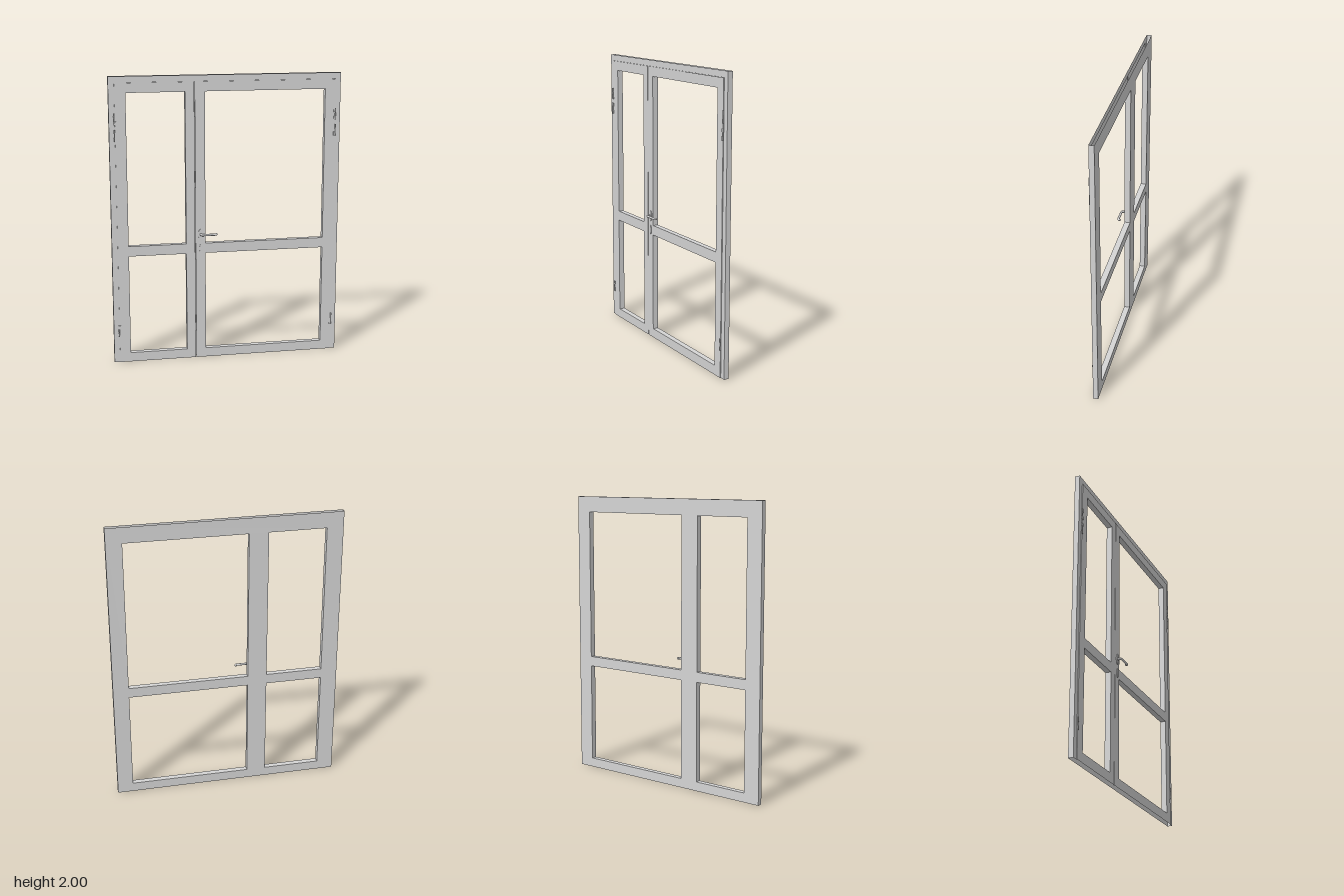
import * as THREE from 'three';

const BACK = -0.04, FRAME = -0.005, FRONT = 0;

// Rectangle corners, counter-clockwise
const rect = (x0, y0, x1, y1) => [[x0, y0], [x1, y0], [x1, y1], [x0, y1]];
const vectors = (pts) => pts.map(([x, y]) => new THREE.Vector2(x, y));

// Flat sheet with holes at depth z
function sheet(pts, holes, z) {
  const shape = new THREE.Shape(vectors(pts));
  holes.forEach((h) => shape.holes.push(new THREE.Path(vectors(h))));
  return new THREE.ShapeGeometry(shape).translate(0, 0, z);
}

// Flat-sided wall following an outline between two depths
function wall(pts, z0, z1, closed = true) {
  const pos = [];
  const count = closed ? pts.length : pts.length - 1;
  for (let i = 0; i < count; i++) {
    const [ax, ay] = pts[i], [bx, by] = pts[(i + 1) % pts.length];
    pos.push(ax, ay, z0, bx, by, z0, bx, by, z1, ax, ay, z0, bx, by, z1, ax, ay, z1);
  }
  const g = new THREE.BufferGeometry();
  g.setAttribute('position', new THREE.Float32BufferAttribute(pos, 3));
  g.computeVertexNormals();
  return g;
}

export function createModel() {
  const model = new THREE.Group();
  model.name = 'doubleDoor';
  const grey = new THREE.MeshStandardMaterial({ color: 0xd5d5d5, side: THREE.DoubleSide });
  grey.name = 'lightGrey';
  const add = (name, geometry, parent = model) => {
    const mesh = new THREE.Mesh(geometry, grey);
    mesh.name = name;
    parent.add(mesh);
    return mesh;
  };

  // Window openings of the narrow and the wide leaf
  const openings = (x0, x1) => [rect(x0, 0.065, x1, 0.765), rect(x0, 0.835, x1, 1.89)];
  const leaves = [
    { name: 'narrowLeaf', x0: -0.76, x1: -0.223, holes: openings(-0.685, -0.285) },
    { name: 'wideLeaf', x0: -0.219, x1: 0.76, holes: openings(-0.15, 0.69) },
  ];

  // Hollow frame, open at top and bottom
  add('backPanel', sheet(rect(-0.8, 0, 0.8, 2), leaves.flatMap((l) => l.holes), BACK));
  add('frameFront', sheet([[-0.8, 0], [-0.76, 0], [-0.76, 1.957], [0.76, 1.957],
    [0.76, 0], [0.8, 0], [0.8, 2], [-0.8, 2]], [], FRAME));
  add('frameRightSide', wall([[-0.8, 2], [-0.8, 0]], BACK, FRAME, false));
  add('frameLeftSide', wall([[0.8, 0], [0.8, 2]], BACK, FRAME, false));

  // Leaves standing slightly proud of the frame
  for (const leaf of leaves) {
    const group = new THREE.Group();
    group.name = leaf.name;
    model.add(group);
    add('leafFront', sheet(rect(leaf.x0, 0, leaf.x1, 1.957), leaf.holes, FRONT), group);
    add('leafLeftEdge', wall([[leaf.x1, 0], [leaf.x1, 1.957]], FRAME, FRONT, false), group);
    add('leafRightEdge', wall([[leaf.x0, 1.957], [leaf.x0, 0]], FRAME, FRONT, false), group);
    leaf.holes.forEach((h) => add('windowReveal', wall([...h].reverse(), BACK, FRONT), group));
  }

  // Hinges on both sides: a slim pin with a short plate at each end
  for (const side of [-1, 1]) {
    for (const [y0, y1] of [[1.675, 1.755], [1.565, 1.645], [0.19, 0.27]]) {
      const hinge = new THREE.Group();
      hinge.name = 'hinge';
      hinge.position.set(side * 0.764, (y0 + y1) / 2, 0.003);
      model.add(hinge);
      const h = y1 - y0;
      add('hingePin', new THREE.CylinderGeometry(0.004, 0.004, h, 8), hinge);
      for (const end of [-1, 1]) {
        add('hingePlate', new THREE.BoxGeometry(0.016, h * 0.32, 0.005), hinge)
          .position.set(-side * 0.003, end * h * 0.34, 0);
      }
    }
  }

  // Lever handle with its oval plates
  const handle = new THREE.Group();
  handle.name = 'handle';
  handle.position.set(-0.183, 0.9, 0);
  model.add(handle);
  const oval = (name, rx, ry, y) => {
    const g = new THREE.CylinderGeometry(1, 1, 0.005, 24).rotateX(Math.PI / 2).scale(rx, ry, 1);
    add(name, g, handle).position.set(0, y, 0.0025);
  };
  oval('handleRosette', 0.018, 0.038, 0);
  oval('keyPlate', 0.01, 0.033, -0.102);
  const path = new THREE.CurvePath();
  const v = (x, z) => new THREE.Vector3(x, 0, z);
  path.add(new THREE.LineCurve3(v(0, 0), v(0, 0.017)));
  path.add(new THREE.QuadraticBezierCurve3(v(0, 0.017), v(0, 0.029), v(0.012, 0.029)));
  path.add(new THREE.LineCurve3(v(0.012, 0.029), v(0.098, 0.029)));
  path.add(new THREE.QuadraticBezierCurve3(v(0.098, 0.029), v(0.107, 0.029), v(0.107, 0.018)));
  add('lever', new THREE.TubeGeometry(path, 40, 0.008, 10), handle);
  add('leverTip', new THREE.SphereGeometry(0.008, 10, 8), handle).position.set(0.107, 0, 0.018);

  return model;
}
